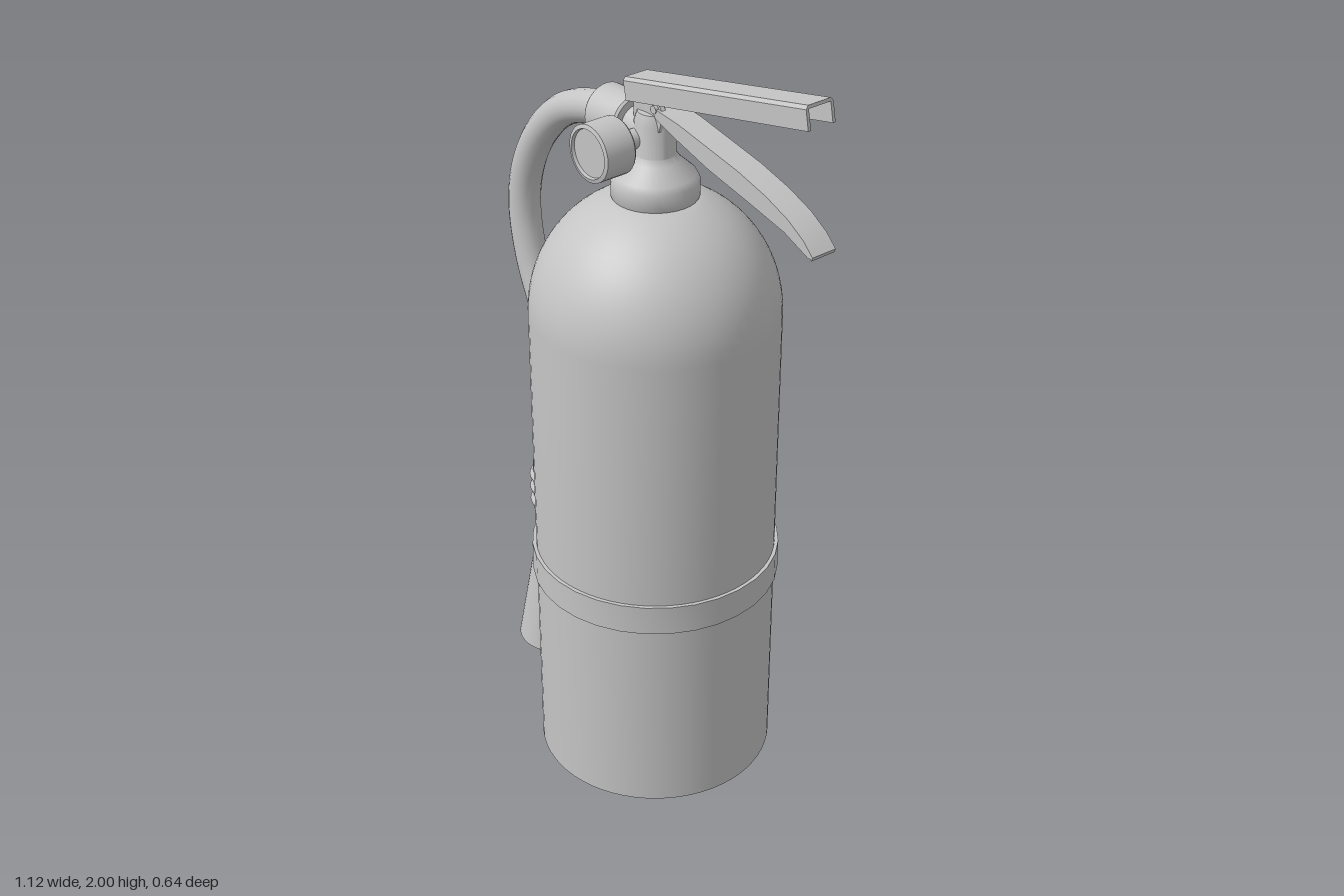
import * as THREE from 'three';
import { toCreasedNormals } from 'three/addons/utils/BufferGeometryUtils.js';

const grey = new THREE.MeshStandardMaterial({ color: 0xc4c4c4 });
grey.name = 'plain grey';
const V2 = (p) => new THREE.Vector2(p[0], p[1]);
const V3 = (p) => new THREE.Vector3(...p);

export function createModel() {
  const model = new THREE.Group();
  model.name = 'fireExtinguisher';

  const add = (name, geometry, parent = model) => {
    const mesh = new THREE.Mesh(geometry, grey);
    mesh.name = name;
    parent.add(mesh);
    return mesh;
  };
  const lathe = (name, points, segments = 48, crease = 0.6) =>
    add(name, toCreasedNormals(new THREE.LatheGeometry(points.map(V2), segments), crease));
  // Side-profile solid of a given width, centred on z
  const profile = (name, points, width, z = 0) => {
    const g = new THREE.ExtrudeGeometry(new THREE.Shape(points.map(V2)), { depth: width, bevelEnabled: false });
    g.translate(0, 0, z - width / 2);
    return add(name, toCreasedNormals(g, 0.5));
  };

  // Tank with domed shoulder and a recessed base inside the skirt
  const tank = [[0, 0.07], [0.15, 0.075], [0.295, 0.09], [0.303, 0], [0.31, 0], [0.31, 0.65]];
  for (let i = 0; i <= 14; i++) {
    const a = (i / 14) * 1.245;
    tank.push([0.31 * Math.cos(a), 1.3 + 0.32 * Math.sin(a)]);
  }
  tank.push([0, 1.603]);
  lathe('tank', tank, 64);

  // Strap around the tank
  lathe('strap', [[0.305, 0.55], [0.32, 0.55], [0.32, 0.63], [0.305, 0.63]], 32);

  // Neck collar and valve body
  lathe('valveBody', [[0.1, 1.595], [0.106, 1.605], [0.106, 1.645], [0.098, 1.66], [0.06, 1.695],
    [0.05, 1.71], [0.05, 1.79], [0.042, 1.815], [0, 1.82]], 32);

  // Pressure gauge on a short stem
  const stem = add('gaugeStem', new THREE.CylinderGeometry(0.024, 0.024, 0.12, 20));
  stem.rotation.x = Math.PI / 2;
  stem.position.set(-0.02, 1.75, 0.05);
  const gauge = lathe('gauge', [[0, 0], [0.066, 0], [0.07, 0.005], [0.07, 0.085], [0.06, 0.088],
    [0.058, 0.08], [0, 0.08]], 32);
  gauge.rotation.x = Math.PI / 2;
  gauge.position.set(-0.02, 1.75, 0.097);

  // Hose coupling
  const coupling = lathe('hoseCoupling', [[0, 0], [0.063, 0], [0.068, 0.006], [0.068, 0.106],
    [0.063, 0.112], [0, 0.112]], 32);
  coupling.rotation.z = Math.PI / 2;
  coupling.position.set(-0.07, 1.76, 0);
  const port = add('hosePort', new THREE.CylinderGeometry(0.045, 0.045, 0.09, 24));
  port.rotation.z = Math.PI / 2;
  port.position.set(-0.04, 1.76, 0);

  // Hose
  const hosePath = new THREE.CatmullRomCurve3([[-0.13, 1.762, 0], [-0.22, 1.755, 0], [-0.34, 1.71, 0],
    [-0.44, 1.615, 0], [-0.5, 1.5, 0], [-0.518, 1.39, 0], [-0.495, 1.25, 0], [-0.435, 1.1, 0],
    [-0.395, 0.98, 0], [-0.386, 0.87, 0], [-0.391, 0.75, 0], [-0.398, 0.6, 0.004], [-0.402, 0.48, 0.01]].map(V3));
  add('hose', new THREE.TubeGeometry(hosePath, 72, 0.042, 18));

  // Discharge horn
  const horn = lathe('dischargeHorn', [[0, 0], [0.09, 0], [0.096, 0.006], [0.052, 0.415],
    [0.058, 0.42], [0.058, 0.44], [0, 0.44]], 36);
  horn.position.set(-0.425, 0.078, 0.022);
  horn.rotation.set(-0.02, 0, -0.07);

  // Clip holding the hose: a U-shaped band seen from above
  const clipShape = new THREE.Shape();
  clipShape.moveTo(-0.29, 0.07);
  clipShape.lineTo(-0.4, 0.07);
  clipShape.absarc(-0.4, 0, 0.07, Math.PI / 2, Math.PI * 1.5, false);
  clipShape.lineTo(-0.29, -0.07);
  clipShape.lineTo(-0.29, -0.057);
  clipShape.lineTo(-0.4, -0.057);
  clipShape.absarc(-0.4, 0, 0.057, Math.PI * 1.5, Math.PI / 2, true);
  clipShape.lineTo(-0.29, 0.057);
  const clipGeo = new THREE.ExtrudeGeometry(clipShape, { depth: 0.15, bevelEnabled: false, curveSegments: 20 });
  clipGeo.rotateX(-Math.PI / 2);
  add('hoseClip', toCreasedNormals(clipGeo, 0.6)).position.set(0, 0.515, 0.005);

  // Ribs on the back of the clip
  for (let i = 0; i < 3; i++) {
    const rib = add('clipRib', new THREE.TorusGeometry(0.068, 0.012, 8, 20, Math.PI));
    rib.rotation.set(Math.PI / 2, 0, Math.PI / 2);
    rib.position.set(-0.4, 0.55 + i * 0.04, 0.005);
  }

  // Bracket cheeks joining the valve and the handles
  for (const z of [-0.022, 0.022])
    profile('handleBracket', [[-0.045, 1.78], [0.045, 1.78], [0.06, 1.83], [0.03, 1.865], [-0.045, 1.86]], 0.012, z);
  const pin = add('handlePin', new THREE.CylinderGeometry(0.01, 0.01, 0.074, 12));
  pin.rotation.x = Math.PI / 2;
  pin.position.set(0.035, 1.835, 0);

  // Upper handle: channel open underneath
  const channel = new THREE.Shape([[-0.04, 0], [-0.032, 0], [-0.032, 0.047], [0.032, 0.047], [0.032, 0],
    [0.04, 0], [0.04, 0.047], [0.033, 0.055], [-0.033, 0.055], [-0.04, 0.047]].map(V2));
  const channelGeo = new THREE.ExtrudeGeometry(channel, { depth: 0.605, bevelEnabled: false });
  channelGeo.rotateY(Math.PI / 2);
  const handle = add('upperHandle', channelGeo);
  handle.position.set(-0.058, 1.83, 0);
  handle.rotation.z = 0.192;

  // Lower lever: curved top skin with two tapering sides
  const top = [[0.025, 1.84], [0.12, 1.826], [0.22, 1.803], [0.32, 1.78], [0.41, 1.752], [0.48, 1.722],
    [0.53, 1.69], [0.56, 1.66]];
  const skin = top.map(([x, y]) => [x - 0.003, y - 0.009]).reverse();
  const side = [[0.548, 1.653], [0.47, 1.688], [0.36, 1.717], [0.22, 1.752], [0.12, 1.785], [0.04, 1.815]];
  profile('leverTop', [...top, ...skin], 0.07);
  for (const z of [-0.031, 0.031]) profile('leverSide', [...top, ...side], 0.0078, z);

  return model;
}
